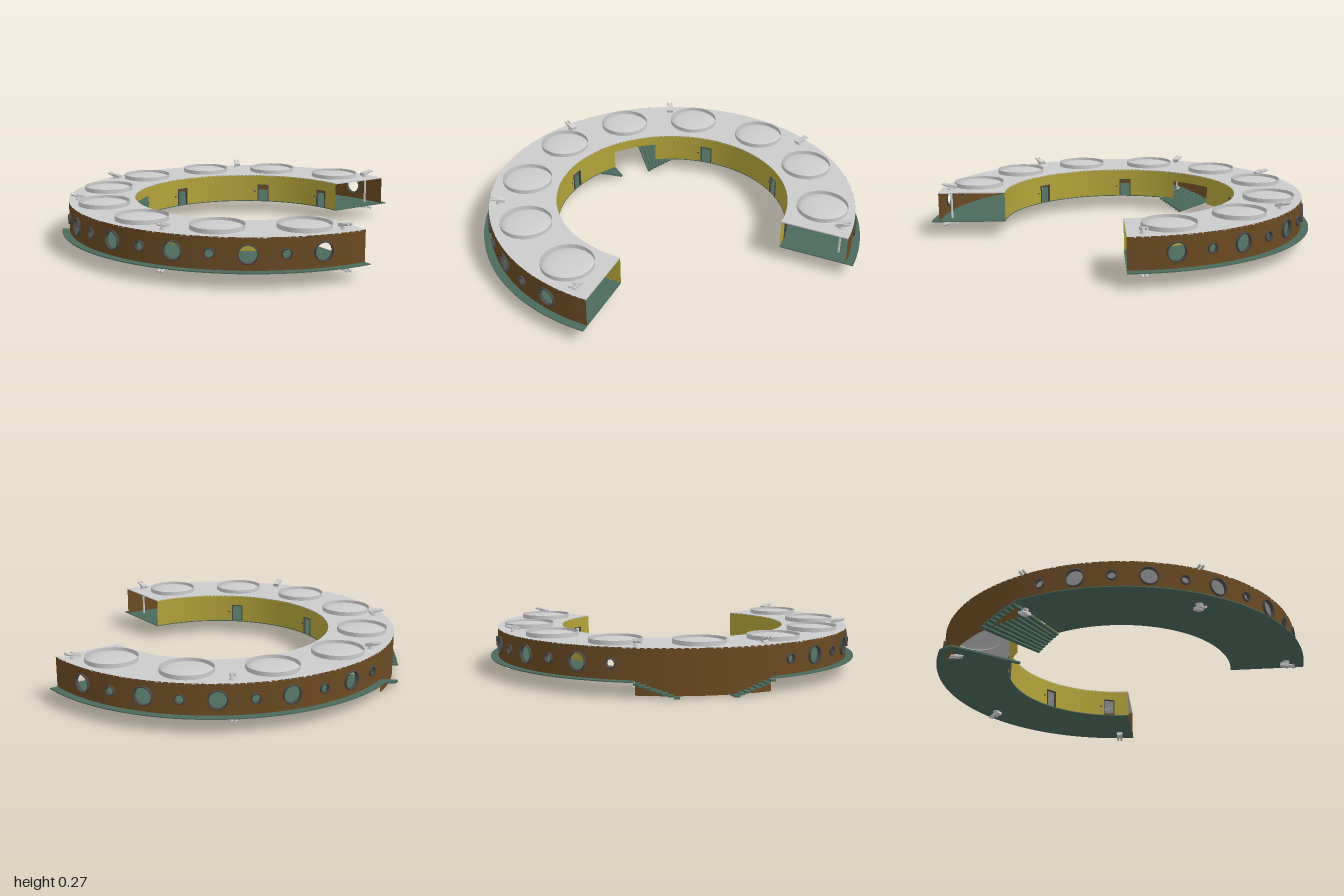
import * as THREE from 'three';

const rad = THREE.MathUtils.degToRad;
const R_OUT = 0.96, R_IN = 0.61, R_FLOOR = 1.0;
const Y_FLOOR = 0.08, Y_ROOF = 0.235;

const mat = (color) => new THREE.MeshStandardMaterial({ color, side: THREE.DoubleSide });
const grey = mat(0xcccccc), brown = mat(0x6b4a22), yellow = mat(0xb3a238);
const green = mat(0x4b6b5c), dark = mat(0x4a4a4a);

function add(parent, name, geometry, material) {
  const mesh = new THREE.Mesh(geometry, material);
  mesh.name = name;
  parent.add(mesh);
  return mesh;
}

// Curved wall between two angles in degrees (0 = +x, 90 = +z)
function curvedWall(r, a0, a1, y0, y1) {
  const g = new THREE.CylinderGeometry(r, r, y1 - y0, Math.max(1, Math.ceil((a1 - a0) / 2)), 1, true,
    rad(90 - a1), rad(a1 - a0));
  return g.translate(0, (y0 + y1) / 2, 0);
}

// Wall panel with a round hole: a ring stretched to a rectangle, then bent
function portholePanel(r, centre, halfAngle, y0, y1, hole) {
  const g = new THREE.RingGeometry(1, 2, 32, 3);
  const p = g.attributes.position, n = g.attributes.normal;
  const w = rad(halfAngle) * r, h = (y1 - y0) / 2;
  for (let i = 0; i < p.count; i++) {
    const len = Math.hypot(p.getX(i), p.getY(i)), t = len - 1;
    const c = p.getX(i) / len, s = p.getY(i) / len, m = Math.max(Math.abs(c), Math.abs(s));
    const u = THREE.MathUtils.lerp(hole * c, w * c / m, t);
    const v = THREE.MathUtils.lerp(hole * s, h * s / m, t);
    const a = rad(centre) - u / r;
    p.setXYZ(i, r * Math.cos(a), (y0 + y1) / 2 + v, r * Math.sin(a));
    n.setXYZ(i, Math.cos(a), 0, Math.sin(a));
  }
  return g;
}

// Flat ring sector with its top at yTop
function sector(r0, r1, a0, a1, yTop, thick, holes = []) {
  const s = new THREE.Shape();
  s.absarc(0, 0, r1, rad(a0), rad(a1), false);
  s.absarc(0, 0, r0, rad(a1), rad(a0), true);
  s.closePath();
  s.holes.push(...holes);
  const g = new THREE.ExtrudeGeometry(s, { depth: thick, bevelEnabled: false, curveSegments: 64 });
  return g.rotateX(Math.PI / 2).translate(0, yTop, 0);
}

// Twin-barrel turret standing on y = 0, aiming along +x
function turret() {
  const g = new THREE.Group();
  g.name = 'turret';
  add(g, 'turretBase', new THREE.CylinderGeometry(0.014, 0.02, 0.014, 12), grey).position.y = 0.007;
  const body = add(g, 'turretBody', new THREE.BoxGeometry(0.042, 0.016, 0.034), grey);
  body.position.set(-0.008, 0.021, 0);
  body.rotation.z = 0.25;
  for (const side of [-1, 1]) {
    const barrel = add(g, 'barrel', new THREE.CylinderGeometry(0.006, 0.008, 0.055, 10), grey);
    barrel.position.set(0.018, 0.026, side * 0.01);
    barrel.rotation.z = -Math.PI / 2 + 0.25;
  }
  return g;
}

export function createModel() {
  const model = new THREE.Group();
  model.name = 'ringBuilding';
  const ring = new THREE.Group();
  ring.name = 'ring';
  ring.position.x = 0.14;
  model.add(ring);

  // Roof with nine round skylights
  const domeAngles = Array.from({ length: 9 }, (_, i) => rad(60 + 30 * i));
  const holes = domeAngles.map((a) =>
    new THREE.Path().absarc(0.79 * Math.cos(a), 0.79 * Math.sin(a), 0.13, 0, Math.PI * 2, true));
  add(ring, 'roof', sector(R_IN, R_OUT, 45, 315, Y_ROOF, 0.005, holes), grey);
  const capPoints = [];
  for (let i = 0; i <= 10; i++) {
    const t = i / 10;
    capPoints.push(new THREE.Vector2(0.132 * t, 0.022 * Math.sqrt(1 - t * t)));
  }
  const cap = new THREE.LatheGeometry(capPoints.reverse(), 40);
  const curb = new THREE.CylinderGeometry(0.132, 0.132, 0.022, 40, 1, true).translate(0, 0.011, 0);
  for (const a of domeAngles) {
    for (const [name, g] of [['skylightDome', cap], ['skylightCurb', curb]]) {
      add(ring, name, g, grey).position.set(0.79 * Math.cos(a), Y_ROOF, 0.79 * Math.sin(a));
    }
  }

  // Floor halves, and the steps down to the entrance
  const steps = 8, stepAngle = 12.5 / steps;
  for (const mirror of [false, true]) {
    const arc = (a0, a1) => (mirror ? [360 - a1, 360 - a0] : [a0, a1]);
    add(ring, 'floor', sector(R_IN, R_FLOOR, ...arc(45, 160), Y_FLOOR, 0.005), green);
    for (let i = 0; i < steps; i++) {
      const a = 160 + i * stepAngle;
      add(ring, 'step', sector(R_IN, R_FLOOR, ...arc(a, a + stepAngle), Y_FLOOR - (i + 1) * 0.0087, 0.0095), green);
    }
  }

  // Outer wall: plain ends, a deep entrance screen, alternating portholes
  const pitch = 10.5;
  for (const [a0, a1, y0] of [[45, 53.25, Y_FLOOR], [158.25, 160, Y_FLOOR], [160, 200, 0.008],
    [200, 201.75, Y_FLOOR], [306.75, 315, Y_FLOOR]]) {
    add(ring, 'outerWall', curvedWall(R_OUT, a0, a1, y0, Y_ROOF), brown);
  }
  for (let k = -3; k <= 6; k++) {
    const size = k % 2 ? 0.046 : 0.024;
    for (const centre of [90 + pitch * k, 270 - pitch * k]) {
      add(ring, 'outerWallPanel', portholePanel(R_OUT, centre, pitch / 2, Y_FLOOR, Y_ROOF, size), brown);
      const frame = add(ring, 'portholeFrame',
        new THREE.LatheGeometry([[size - 0.004, -0.008], [size - 0.004, 0.01], [size + 0.002, 0.01],
          [size + 0.002, -0.008]].map(([x, y]) => new THREE.Vector2(x, y)), 32).rotateX(Math.PI / 2), dark);
      const a = rad(centre);
      frame.position.set(R_OUT * Math.cos(a), (Y_FLOOR + Y_ROOF) / 2, R_OUT * Math.sin(a));
      frame.rotation.y = Math.PI / 2 - a;
    }
  }

  // Inner wall with doorways: [centre, half angle, top]
  const doors = [[92, 2.9, 0.175], [140, 2.9, 0.175], [180, 11.8, 0.18], [220, 2.9, 0.175],
    [268, 2.9, 0.175], [304, 2.9, 0.175]];
  let from = 45;
  for (const [centre, half, top] of doors) {
    add(ring, 'innerWall', curvedWall(R_IN, from, centre - half, Y_FLOOR, Y_ROOF), yellow);
    add(ring, 'innerWallLintel', curvedWall(R_IN, centre - half, centre + half, top, Y_ROOF), yellow);
    from = centre + half;
    if (half > 5) continue;
    // Door frame and control plate
    const frame = new THREE.Group();
    frame.name = 'doorFrame';
    const a = rad(centre), height = top - Y_FLOOR;
    frame.position.set(R_IN * Math.cos(a), Y_FLOOR, R_IN * Math.sin(a));
    frame.rotation.y = Math.PI / 2 - a;
    for (const side of [-1, 1]) {
      add(frame, 'doorJamb', new THREE.BoxGeometry(0.005, height, 0.012), dark).position.set(side * 0.03, height / 2, 0);
    }
    add(frame, 'doorHead', new THREE.BoxGeometry(0.065, 0.005, 0.012), dark).position.y = height;
    add(frame, 'doorControl', new THREE.BoxGeometry(0.01, 0.008, 0.008), dark).position.set(0.05, 0.055, 0);
    ring.add(frame);
  }
  add(ring, 'innerWall', curvedWall(R_IN, from, 315, Y_FLOOR, Y_ROOF), yellow);

  // Turrets above the roof and hung below the floor, joined by a post
  for (const deg of [50, 105, 160, 200, 255, 310]) {
    const station = new THREE.Group();
    station.name = 'turretStation';
    station.position.set(0.905 * Math.cos(rad(deg)), 0, 0.905 * Math.sin(rad(deg)));
    station.rotation.y = -rad(deg);
    const upper = turret(), lower = turret();
    upper.position.y = Y_ROOF;
    lower.position.y = Y_FLOOR - 0.005;
    lower.rotation.x = Math.PI;
    const post = add(station, 'turretPost', new THREE.CylinderGeometry(0.006, 0.006, Y_ROOF - Y_FLOOR, 10), grey);
    post.position.y = (Y_ROOF + Y_FLOOR) / 2;
    station.add(upper, lower);
    ring.add(station);
  }
  return model;
}
